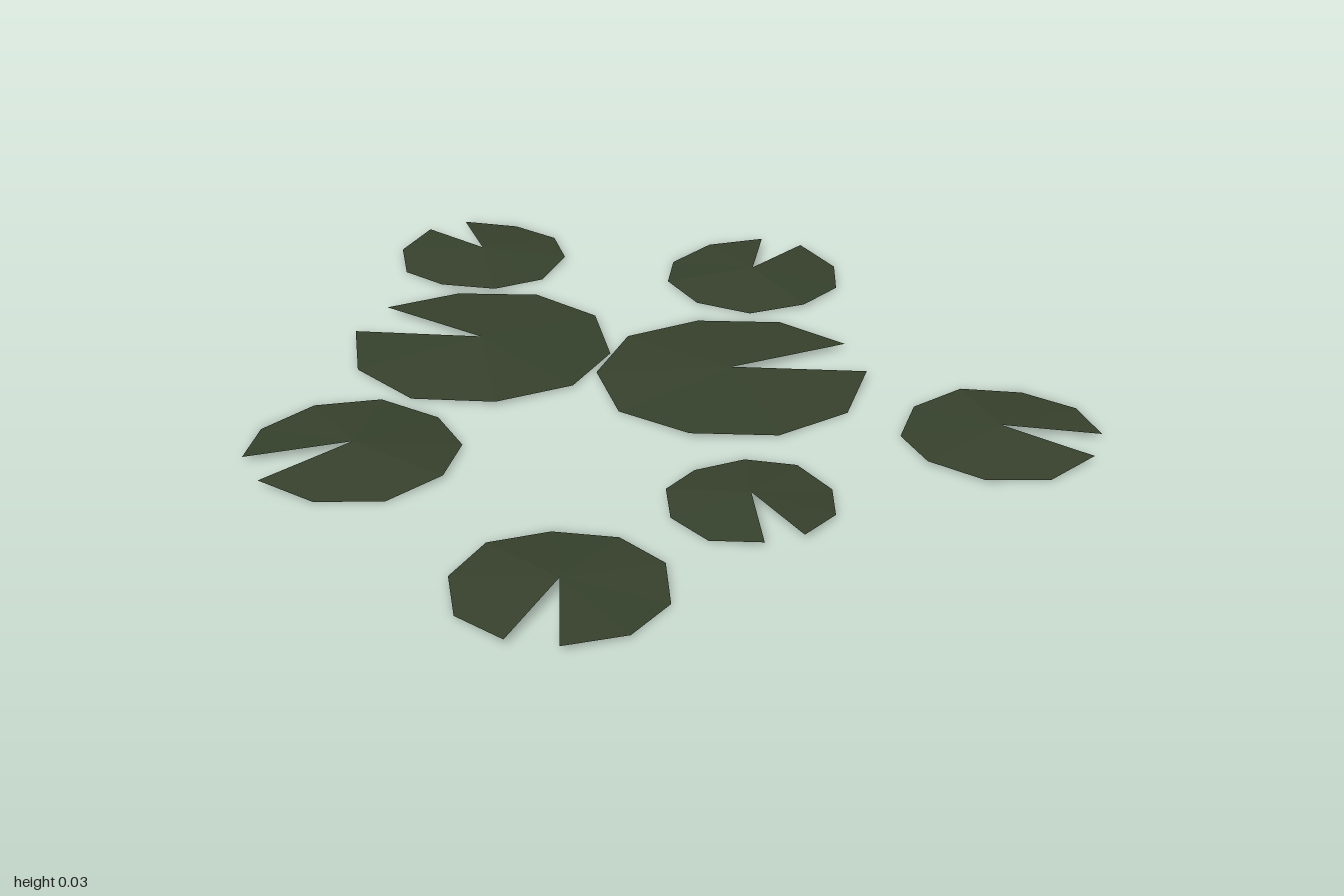
import * as THREE from 'three';

const SEGMENTS = 9;
const NOTCH = THREE.MathUtils.degToRad(28);
const HUB_HEIGHT = 0.025;

// Shallow cone fan with a wedge notch and a gently waving rim
function padGeometry(radius, notchDegrees) {
  const start = THREE.MathUtils.degToRad(notchDegrees) + NOTCH / 2;
  const step = (Math.PI * 2 - NOTCH) / SEGMENTS;
  const rim = [];
  for (let i = 0; i <= SEGMENTS; i++) {
    const angle = start + i * step;
    const atNotch = i === 0 || i === SEGMENTS;
    const y = atNotch ? 0.01 : i % 3 === 0 ? 0.008 : i % 3 === 1 ? 0.004 : 0;
    rim.push([Math.cos(angle) * radius, y, -Math.sin(angle) * radius]);
  }
  const positions = [];
  for (let i = 0; i < SEGMENTS; i++) {
    positions.push(0, HUB_HEIGHT, 0, ...rim[i], ...rim[i + 1]);
  }
  const geometry = new THREE.BufferGeometry();
  geometry.setAttribute('position', new THREE.Float32BufferAttribute(positions, 3));
  geometry.computeVertexNormals();
  return geometry;
}

export function createModel() {
  const group = new THREE.Group();
  group.name = 'lilyPads';
  const leaf = new THREE.MeshStandardMaterial({
    color: 0x36412c, flatShading: true, side: THREE.DoubleSide,
  });

  // Each pad: hub x, hub z, radius, direction of the notch in degrees
  const pads = [
    [0.215, 0, 0.302, 0],
    [-0.29, -0.302, 0.298, 139],
    [-0.177, -0.797, 0.203, 104],
    [0.426, -0.505, 0.21, 52],
    [-0.66, 0.125, 0.231, 189],
    [0.685, 0.42, 0.214, -33],
    [0.082, 0.558, 0.178, 275],
    [-0.373, 0.78, 0.22, 242],
  ];
  pads.forEach(([x, z, radius, notch], i) => {
    const pad = new THREE.Mesh(padGeometry(radius, notch), leaf);
    pad.name = `lilyPad${i + 1}`;
    pad.position.set(x, 0, z);
    group.add(pad);
  });
  return group;
}
